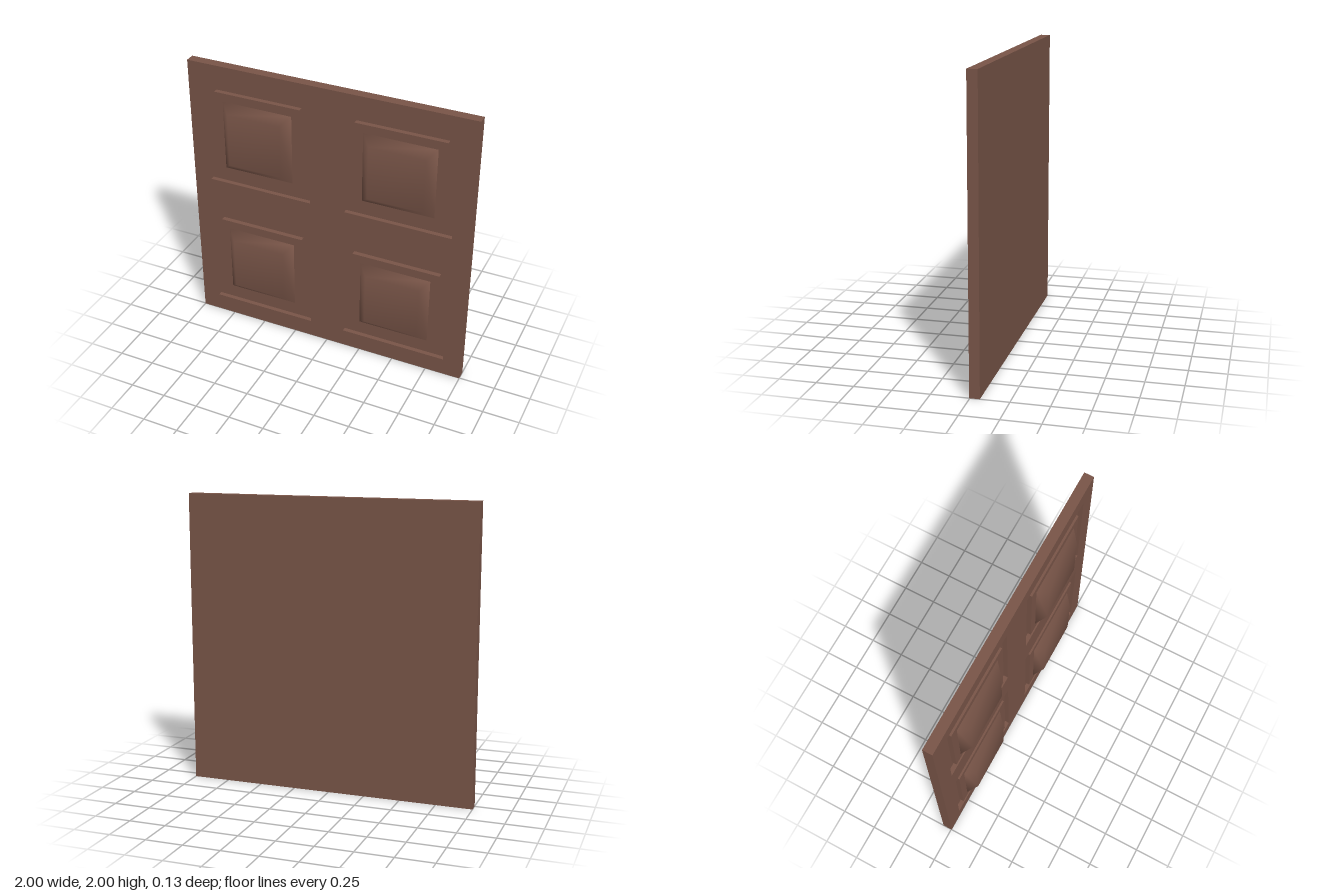
import * as THREE from 'three';

const BACK = -0.063, FLOOR = -0.027, FRONT = 0.004, PANEL = 0.006, TOP = 0.063;

// Adds a square outline of half size h around (x, y) to a shape or path
function square(path, x, y, h) {
  path.moveTo(x - h, y - h);
  path.lineTo(x + h, y - h);
  path.lineTo(x + h, y + h);
  path.lineTo(x - h, y + h);
  path.closePath();
  return path;
}

// Raised boss: truncated pyramid with shared vertices for softly shaded edges
function bossGeometry(baseHalf, topHalf, z0, z1) {
  const positions = [];
  for (const [h, z] of [[baseHalf, z0], [topHalf, z1]]) {
    positions.push(-h, -h, z, h, -h, z, h, h, z, -h, h, z);
  }
  const index = [4, 5, 6, 4, 6, 7];
  for (let i = 0; i < 4; i++) {
    const j = (i + 1) % 4;
    index.push(i, j, j + 4, i, j + 4, i + 4);
  }
  const geometry = new THREE.BufferGeometry();
  geometry.setAttribute('position', new THREE.Float32BufferAttribute(positions, 3));
  geometry.setIndex(index);
  geometry.computeVertexNormals();
  return geometry;
}

export function createModel() {
  const group = new THREE.Group();
  const wood = new THREE.MeshStandardMaterial({ color: 0x795548 });
  wood.name = 'brown wood';

  const add = (name, geometry, x, y, z) => {
    const mesh = new THREE.Mesh(geometry, wood);
    mesh.name = name;
    mesh.position.set(x, y, z);
    group.add(mesh);
  };

  const centres = [];
  for (const y of [0.5, 1.5]) for (const x of [-0.5, 0.5]) centres.push([x, y]);

  // Back board, whose front is the floor of the recesses
  add('backBoard', new THREE.BoxGeometry(2, 2, FLOOR - BACK), 0, 1, (FLOOR + BACK) / 2);

  // Front frame with four square recesses
  const outline = square(new THREE.Shape(), 0, 1, 1);
  for (const [x, y] of centres) outline.holes.push(square(new THREE.Path(), x, y, 0.375));
  const frame = new THREE.ExtrudeGeometry(outline, { depth: FRONT - FLOOR, bevelEnabled: false });
  add('frame', frame, 0, 0, FLOOR);

  // A flat panel and a raised boss inside each recess
  const panel = new THREE.BoxGeometry(0.62, 0.62, PANEL - FLOOR);
  const boss = bossGeometry(0.25, 0.19, PANEL, TOP);
  for (const [x, y] of centres) {
    add('panel', panel, x, y, (PANEL + FLOOR) / 2);
    add('boss', boss, x, y, 0);
  }
  return group;
}
